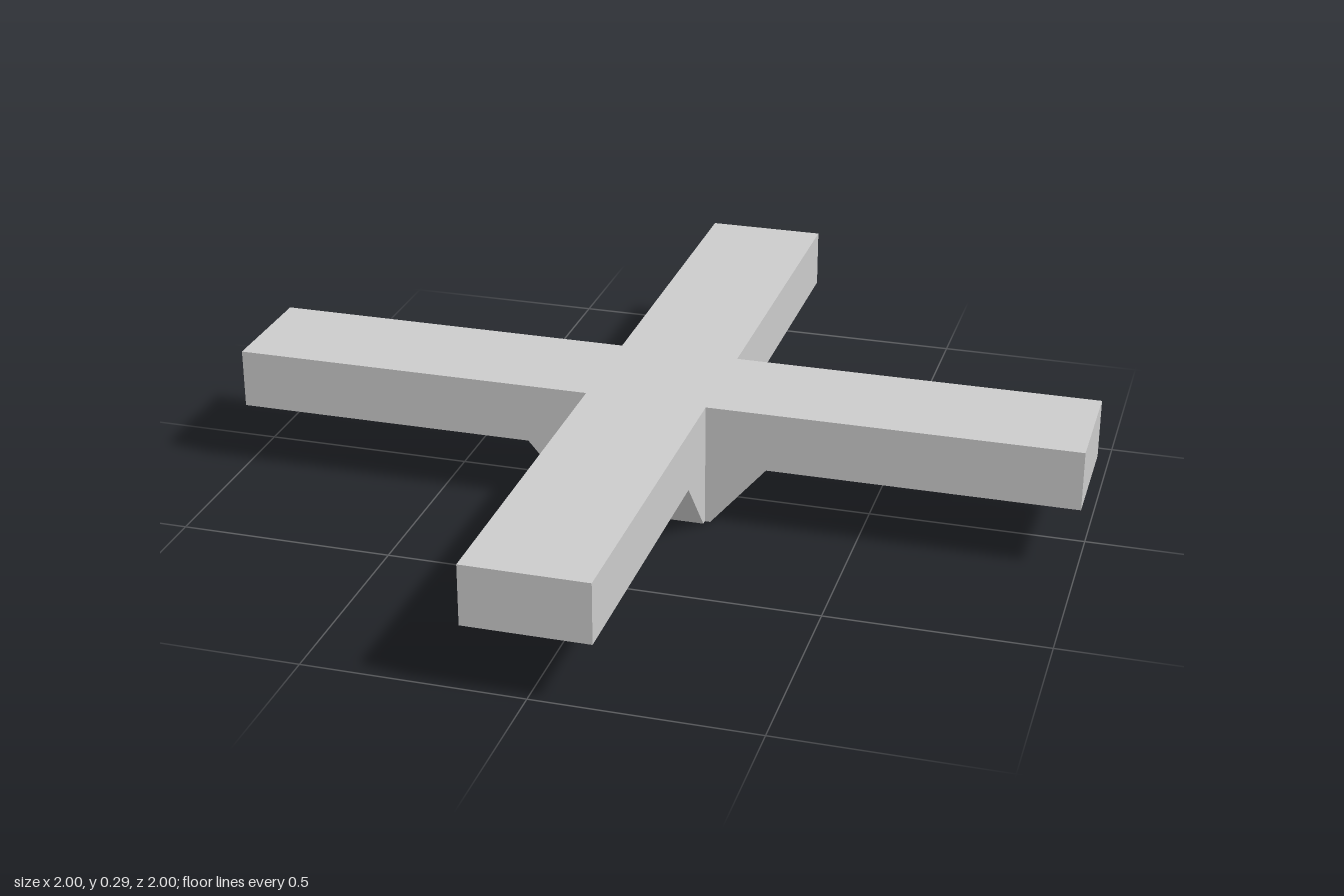
import * as THREE from 'three';

const HALF_WIDTH = 0.142, TOP = 0.29, UNDERSIDE = 0.15;
const FOOT = 0.155, GUSSET_END = 0.285;

// Outline of one arm side: bottom of the hub, sloped gusset, underside, end, top
const armOutline = [
  [FOOT, 0], [GUSSET_END, UNDERSIDE], [1, UNDERSIDE], [1, TOP],
];

// Extrudes a side outline across the width of a beam
function beam(name, points, material) {
  const shape = new THREE.Shape(points.map(([x, y]) => new THREE.Vector2(x, y)));
  const geometry = new THREE.ExtrudeGeometry(shape, { depth: 2 * HALF_WIDTH, bevelEnabled: false });
  geometry.translate(0, 0, -HALF_WIDTH);
  const mesh = new THREE.Mesh(geometry, material);
  mesh.name = name;
  return mesh;
}

export function createModel() {
  const group = new THREE.Group();
  group.name = 'crossBracket';
  const material = new THREE.MeshStandardMaterial({ color: 0xcccccc, flatShading: true });

  // Full beam running left to right, including the hub
  const mirrored = armOutline.map(([x, y]) => [-x, y]).reverse();
  group.add(beam('crossBeam', [...armOutline, ...mirrored], material));

  // Front and back arms butt against the sides of the beam
  const halfOutline = [[HALF_WIDTH, 0], ...armOutline, [HALF_WIDTH, TOP]];
  for (const [name, turn] of [['frontArm', -Math.PI / 2], ['backArm', Math.PI / 2]]) {
    const arm = beam(name, halfOutline, material);
    arm.rotation.y = turn;
    group.add(arm);
  }
  return group;
}
